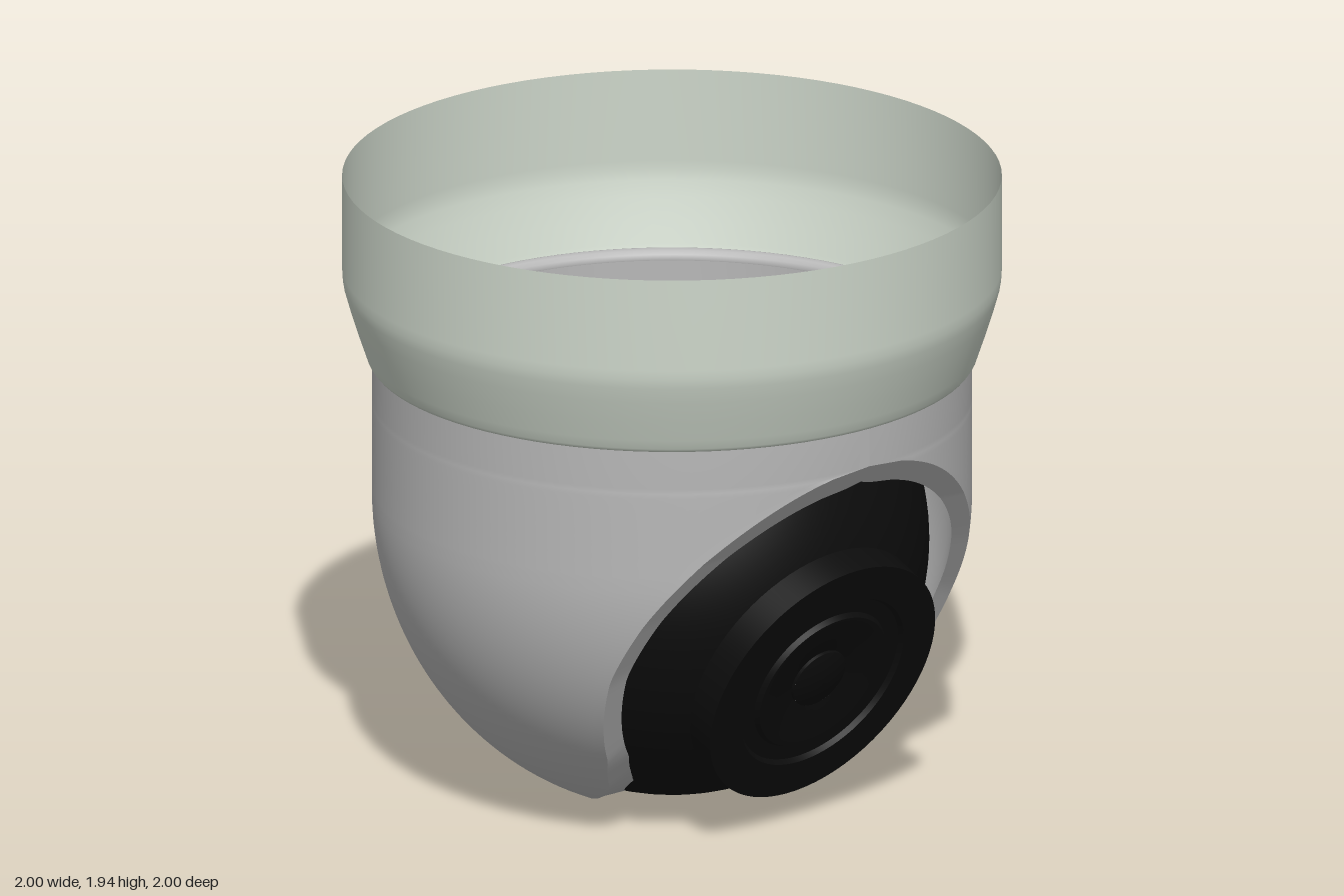
import * as THREE from 'three';
import { toCreasedNormals } from 'three/addons/utils/BufferGeometryUtils.js';

const V2 = (a) => a.map(([x, y]) => new THREE.Vector2(x, y));

// Depth of the front cut at height y: the shell is removed where z > cutDepth(y)
const CUT = [[0.02, 0], [0.07, 0.13], [0.16, 0.27], [0.28, 0.36], [0.4, 0.415], [0.6, 0.505],
  [0.8, 0.62], [1.0, 0.745], [1.24, 0.91]];
function cutDepth(y) {
  if (y <= CUT[0][0]) return 0;
  for (let i = 1; i < CUT.length; i++) {
    const [y0, z0] = CUT[i - 1], [y1, z1] = CUT[i];
    if (y <= y1) return z0 + (z1 - z0) * (y - y0) / (y1 - y0);
  }
  return 2;
}

// Surface through rows of points
function gridSurface(rows, flip = false) {
  const n = rows[0].length, index = [];
  for (let r = 0; r < rows.length - 1; r++) {
    for (let c = 0; c < n - 1; c++) {
      const a = r * n + c, b = a + n;
      if (flip) index.push(a, a + 1, b, b, a + 1, b + 1);
      else index.push(a, b, a + 1, b, b + 1, a + 1);
    }
  }
  const g = new THREE.BufferGeometry();
  g.setAttribute('position', new THREE.Float32BufferAttribute(rows.flat(2), 3));
  g.setIndex(index);
  g.computeVertexNormals();
  return g;
}

// One horizontal arc of the shell, running round the back from edge to edge
function shellRow([r, y]) {
  const start = Math.acos(Math.min(1, cutDepth(y) / r));
  const row = [];
  for (let i = 0; i <= 96; i++) {
    const t = start + (i / 96) * 2 * (Math.PI - start);
    row.push([r * Math.sin(t), y, r * Math.cos(t)]);
  }
  return row;
}

// Matching outer and inner profiles: straight collar, dome, flat underside
function shellProfiles() {
  const outer = [[0.91, 1.38]], inner = [[0.86, 1.38]];
  for (let i = 0; i <= 20; i++) {
    const y = 1.24 - 0.3 * i / 20;
    outer.push([0.91, y]);
    inner.push([0.86, y]);
  }
  const end = 1.205;
  for (let i = 1; i <= 40; i++) {
    const a = end * i / 40;
    outer.push([0.91 * Math.cos(a), 0.94 - 0.985 * Math.sin(a)]);
    inner.push([0.86 * Math.cos(a), 0.94 - 0.93 * Math.sin(a)]);
  }
  for (let i = 0; i <= 8; i++) {
    const r = 0.31 - 0.3 * i / 8;
    outer.push([r, 0.015]);
    inner.push([r * 0.94, 0.05]);
  }
  return { outer, inner };
}

export function createModel() {
  const group = new THREE.Group();
  const material = (name, color) => {
    const m = new THREE.MeshStandardMaterial({ color, side: THREE.DoubleSide });
    m.name = name;
    return m;
  };
  const sage = material('sage', 0xcdd6ca);
  const grey = material('grey', 0xb8b8b8);
  const black = material('black', 0x0c0c0c);
  const add = (name, geometry, mat, parent = group) => {
    const mesh = new THREE.Mesh(geometry, mat);
    mesh.name = name;
    parent.add(mesh);
    return mesh;
  };

  // Thin mounting collar, open at the top
  add('mountingCollar', new THREE.LatheGeometry(V2([
    [0.905, 1.362], [0.918, 1.364], [0.926, 1.375], [0.936, 1.405], [0.958, 1.47], [0.98, 1.54],
    [0.994, 1.59], [0.999, 1.62], [1, 1.65], [1, 1.94],
  ]), 96), sage);

  // Domed shell with its front opening
  const shell = new THREE.Group();
  shell.name = 'domeShell';
  group.add(shell);
  const { outer, inner } = shellProfiles();
  add('shellOutside', gridSurface(outer.map(shellRow)), grey, shell);
  add('shellInside', gridSurface(inner.map(shellRow), true), grey, shell);

  // Thickness of the shell along both sides of the opening
  const edgePoint = ([r, y], side) => {
    const z = cutDepth(y);
    return [side * Math.sqrt(Math.max(0, r * r - z * z)), y, z];
  };
  for (const side of [1, -1]) {
    const rows = outer.slice(1).map((p, i) => [edgePoint(p, side), edgePoint(inner[i + 1], side)]);
    add(side > 0 ? 'leftOpeningEdge' : 'rightOpeningEdge', gridSurface(rows, side < 0), grey, shell);
  }

  // Rounded lip on top of the shell
  const lip = add('shellLip', new THREE.TorusGeometry(0.887, 0.028, 12, 96), grey, shell);
  lip.rotation.x = Math.PI / 2;
  lip.position.y = 1.38;

  // Ball with a tilted lens barrel
  const ball = new THREE.Group();
  ball.name = 'cameraBall';
  ball.position.y = 0.78;
  ball.rotation.x = Math.PI / 2 + Math.atan2(0.38, 0.925);
  group.add(ball);
  add('ball', new THREE.SphereGeometry(0.78, 80, 56), black, ball);
  const barrel = new THREE.LatheGeometry(V2([
    [0.43, 0.62], [0.43, 0.75], [0.31, 0.75], [0.3, 0.735], [0.25, 0.735], [0.24, 0.75],
    [0.22, 0.75], [0.1, 0.725], [0.1, 0.735],
  ]), 72);
  add('lensBarrel', toCreasedNormals(barrel, 0.4), black, ball);
  add('lensGlass', new THREE.LatheGeometry(V2([
    [0.1, 0.735], [0.08, 0.743], [0.05, 0.75], [0.025, 0.753], [0, 0.754],
  ]), 40), black, ball);
  // Hidden backing, so the recessed rings sit below the ball's surface
  ball.children[0].geometry = new THREE.SphereGeometry(0.78, 80, 56, 0, Math.PI * 2, 0.56, Math.PI - 0.56);
  return group;
}
